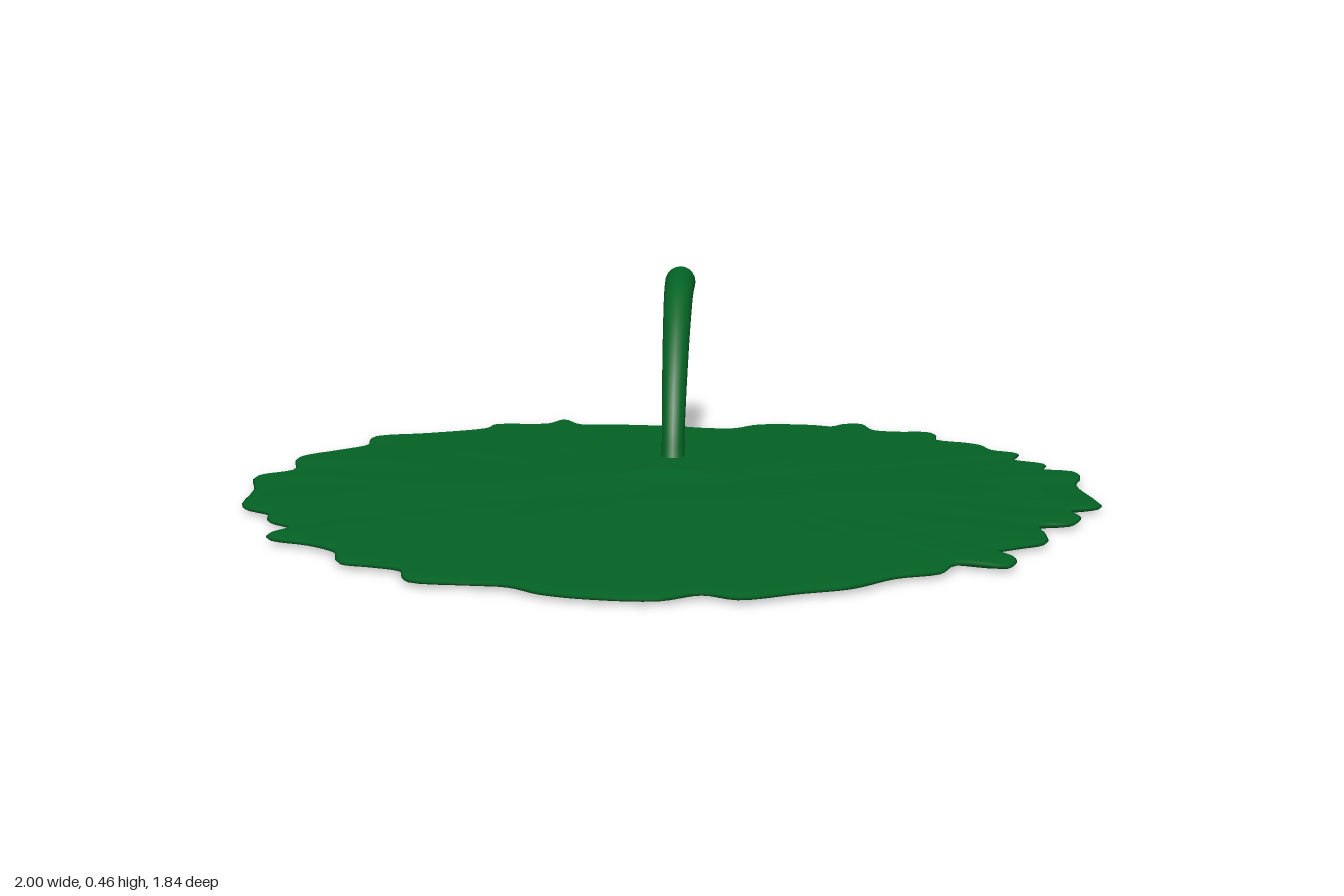
import * as THREE from 'three';

const green = new THREE.MeshStandardMaterial({ color: 0x046325 });

// Ragged rim of the leaf as x, z pairs, starting at the back
const RIM = [
  0, -0.83, 0.07, -0.81, 0.15, -0.81, 0.22, -0.87, 0.36, -0.87, 0.42, -0.85, 0.46, -0.89, 0.5, -0.89,
  0.53, -0.8, 0.6, -0.78, 0.67, -0.78, 0.69, -0.75, 0.69, -0.67, 0.77, -0.63, 0.8, -0.6, 0.82, -0.54,
  0.88, -0.5, 0.86, -0.42, 0.93, -0.37, 0.92, -0.3, 0.99, -0.28, 0.99, -0.2, 0.97, -0.13,
  0.99, 0.03, 0.99, 0.1, 0.92, 0.14, 0.93, 0.2, 0.9, 0.27, 0.83, 0.29, 0.83, 0.36, 0.82, 0.44,
  0.76, 0.48, 0.71, 0.52, 0.74, 0.57, 0.72, 0.64, 0.62, 0.62, 0.58, 0.69, 0.49, 0.73, 0.4, 0.81,
  0.3, 0.85, 0.18, 0.9, 0.11, 0.87, 0.03, 0.915, -0.1, 0.91, -0.2, 0.88, -0.27, 0.83, -0.35, 0.82,
  -0.47, 0.8, -0.5, 0.72, -0.57, 0.69, -0.63, 0.67, -0.66, 0.58, -0.73, 0.52, -0.82, 0.48,
  -0.83, 0.44, -0.8, 0.38, -0.86, 0.32, -0.88, 0.25, -0.95, 0.19, -0.97, 0.01, -1, -0.14,
  -0.93, -0.21, -0.95, -0.37, -0.87, -0.46, -0.81, -0.53, -0.81, -0.65, -0.68, -0.7, -0.53, -0.78,
  -0.51, -0.84, -0.37, -0.855, -0.33, -0.92, -0.28, -0.85, -0.18, -0.85,
];

// Upper face: shallow dome, faint ripples, a small swelling in front of the stem
function topHeight(x, z, t) {
  const bump = 0.012 * Math.exp(-((x / 0.1) ** 2 + ((z + 0.14) / 0.06) ** 2));
  const ripple = 0.0012 * Math.sin(9 * x + 4 * z) * Math.sin(11 * z - 3 * x);
  return 0.018 + 0.013 * (1 - t * t) + bump + ripple * (1 - t ** 6);
}

function leafGeometry() {
  const pts = [];
  for (let i = 0; i < RIM.length; i += 2) pts.push(new THREE.Vector3(RIM[i], 0, RIM[i + 1]));
  const n = pts.length * 4;
  const rim = new THREE.CatmullRomCurve3(pts, true, 'centripetal').getPoints(n).slice(0, n);

  // Rings from the top centre, around the thin rounded edge, to the bottom centre
  const rings = [[0, null]];
  for (let i = 0; i <= 24; i++) rings.push([0.06 + 0.92 * i / 24, null]);
  rings.push([0.994, 0.0165], [1, 0.013], [0.994, 0.008], [0.975, 0.005], [0.9, 0.002], [0.5, 0], [0, 0]);

  const pos = [], index = [];
  rings.forEach(([t, y], r) => {
    rim.forEach((p, i) => {
      const x = p.x * t, z = p.z * t;
      pos.push(x, y ?? topHeight(x, z, t), z);
      if (r === 0) return;
      const a = (r - 1) * n + i, b = (r - 1) * n + (i + 1) % n;
      if (r > 1) index.push(a, b, a + n);
      if (r < rings.length - 1) index.push(b, b + n, a + n);
    });
  });
  const g = new THREE.BufferGeometry();
  g.setAttribute('position', new THREE.Float32BufferAttribute(pos, 3));
  g.setIndex(index);
  g.computeVertexNormals();
  // The vertices at each centre share one position, so give them a straight normal
  for (let i = 0; i < n; i++) {
    g.attributes.normal.setXYZ(i, 0, 1, 0);
    g.attributes.normal.setXYZ((rings.length - 1) * n + i, 0, -1, 0);
  }
  return g;
}

// Curved stalk: a tube whose radius swells, then closes in a rounded tip
function stemGeometry() {
  const path = new THREE.CatmullRomCurve3([
    [-0.362, 0.012], [-0.39, 0.08], [-0.44, 0.165], [-0.505, 0.245], [-0.6, 0.33],
    [-0.7, 0.39], [-0.8, 0.412], [-0.86, 0.415], [-0.91, 0.406],
  ].map(([z, y]) => new THREE.Vector3(0, y, z)));
  const steps = 72, sides = 20;
  const g = new THREE.TubeGeometry(path, steps, 1, sides);
  const p = g.attributes.position, v = new THREE.Vector3();
  for (let s = 0; s <= steps; s++) {
    const u = s / steps;
    const c = path.getPointAt(u);
    const flare = 0.006 * Math.exp(-u / 0.025);
    const tip = u > 0.87 ? Math.sqrt(Math.max(0, 1 - ((u - 0.87) / 0.13) ** 2)) : 1;
    const radius = (0.027 + 0.016 * u + flare) * tip;
    for (let k = 0; k <= sides; k++) {
      const i = s * (sides + 1) + k;
      v.fromBufferAttribute(p, i).sub(c).multiplyScalar(radius).add(c);
      p.setXYZ(i, v.x, Math.max(v.y, 0.006), v.z);
    }
  }
  return g;
}

export function createModel() {
  const group = new THREE.Group();
  const add = (name, geometry) => {
    const mesh = new THREE.Mesh(geometry, green);
    mesh.name = name;
    group.add(mesh);
  };
  add('leafPad', leafGeometry());
  add('stem', stemGeometry());
  return group;
}
